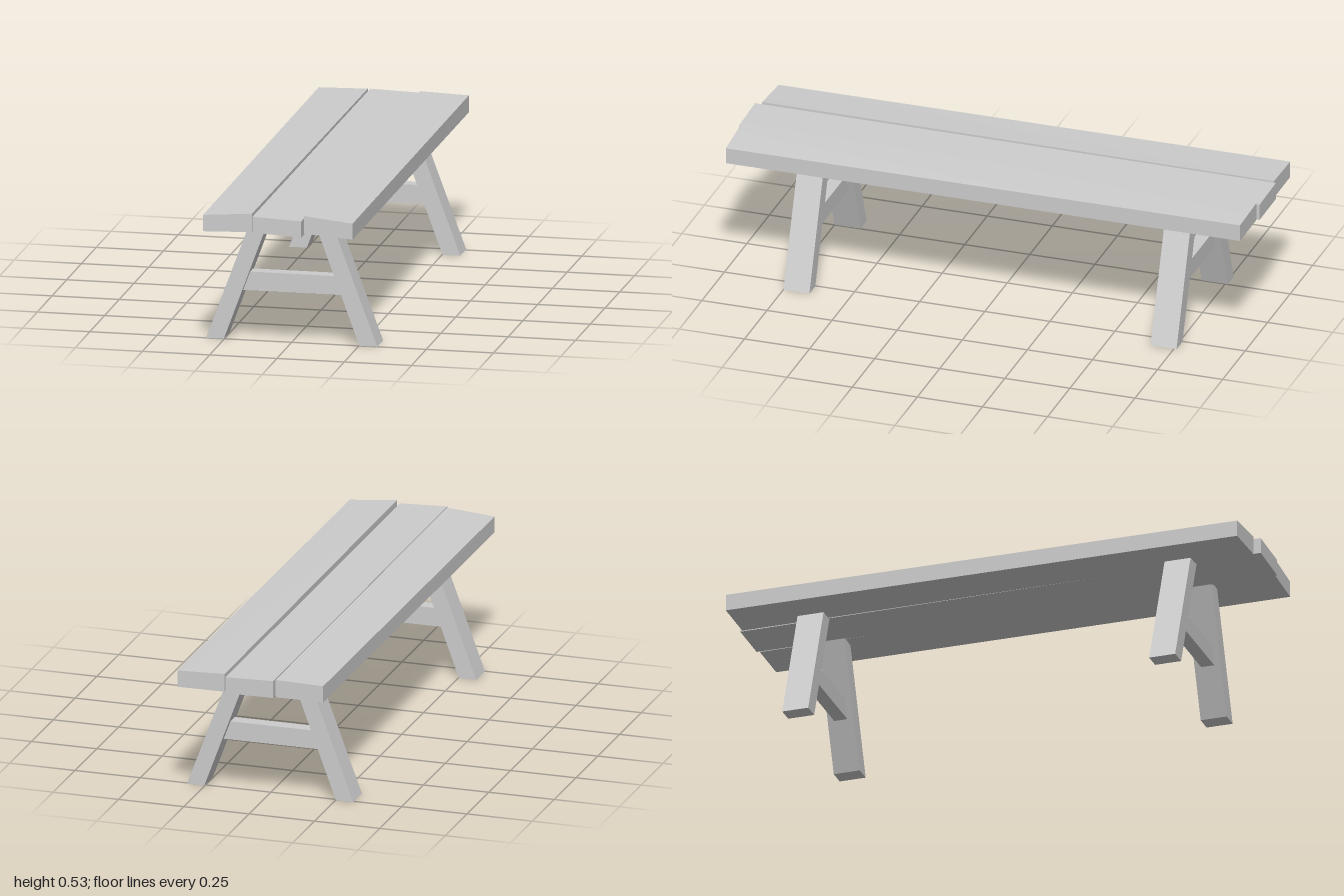
import * as THREE from 'three';

const wood = new THREE.MeshStandardMaterial({ color: 0xcccccc });
wood.name = 'plainGrey';

// Slightly warped board. Heights are [at x0, at x1] for the front and back ends.
function plank(name, [x0, x1], [z0, z1], front, back) {
  const geo = new THREE.BoxGeometry(1, 1, 1);
  const p = geo.attributes.position;
  for (let i = 0; i < p.count; i++) {
    const side = p.getX(i) > 0 ? 1 : 0;
    const end = p.getZ(i) > 0 ? front : back;
    const y = (p.getY(i) > 0 ? end.top : end.bottom)[side];
    p.setXYZ(i, side ? x1 : x0, y, p.getZ(i) > 0 ? z1 : z0);
  }
  geo.computeVertexNormals();
  const mesh = new THREE.Mesh(geo, wood);
  mesh.name = name;
  return mesh;
}

// Flat outline in x and y, given depth along z and centred on z = 0
function slab(name, points, depth) {
  const shape = new THREE.Shape(points.map(([x, y]) => new THREE.Vector2(x, y)));
  const geo = new THREE.ExtrudeGeometry(shape, { depth, bevelEnabled: false });
  geo.translate(0, 0, -depth / 2);
  const mesh = new THREE.Mesh(geo, wood);
  mesh.name = name;
  return mesh;
}

// A-shaped support: two splayed legs and a crossbar
function trestle(name, z) {
  const group = new THREE.Group();
  group.name = name;
  for (const s of [-1, 1]) {
    const outline = [[0.252, 0], [0.318, 0], [0.146, 0.464], [0.081, 0.464]];
    group.add(slab(s > 0 ? 'leftLeg' : 'rightLeg', outline.map(([x, y]) => [x * s, y]), 0.1));
  }
  group.add(slab('crossbar', [[-0.186, 0.18], [0.186, 0.18], [0.16, 0.25], [-0.16, 0.25]], 0.05));
  group.position.z = z;
  return group;
}

export function createModel() {
  const model = new THREE.Group();
  model.name = 'bench';

  // Seat boards
  model.add(plank('rightPlank', [-0.28, -0.098], [-0.99, 0.975],
    { bottom: [0.455, 0.461], top: [0.516, 0.53] },
    { bottom: [0.457, 0.456], top: [0.519, 0.523] }));
  model.add(plank('middlePlank', [-0.091, 0.09], [-1, 1],
    { bottom: [0.466, 0.456], top: [0.525, 0.517] },
    { bottom: [0.456, 0.455], top: [0.521, 0.516] }));
  model.add(plank('leftPlank', [0.097, 0.278], [-0.99, 0.985],
    { bottom: [0.468, 0.455], top: [0.534, 0.515] },
    { bottom: [0.456, 0.455], top: [0.524, 0.518] }));

  // Supports
  model.add(trestle('frontTrestle', 0.7));
  model.add(trestle('backTrestle', -0.71));
  return model;
}
